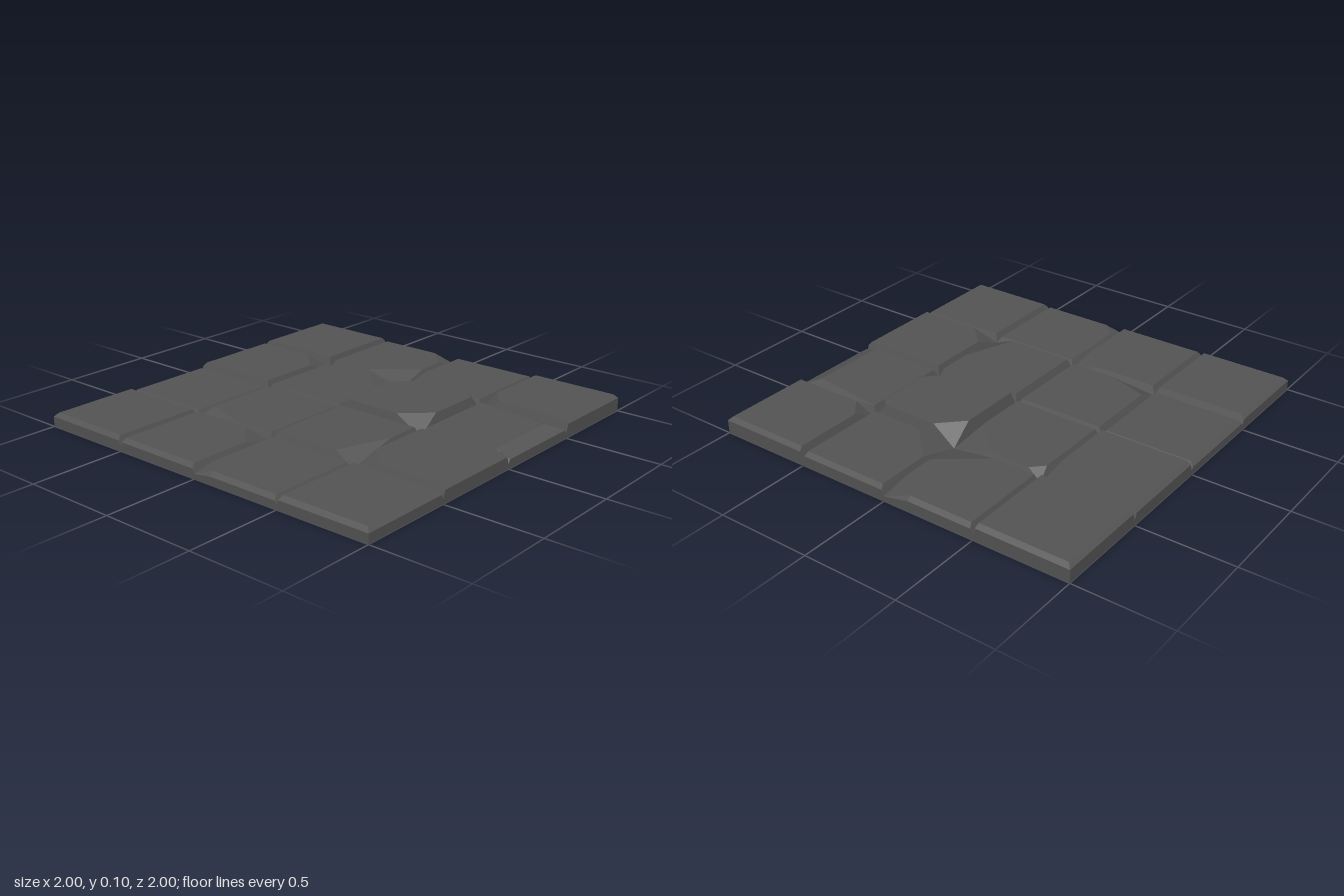
import * as THREE from 'three';
import { ConvexGeometry } from 'three/addons/geometries/ConvexGeometry.js';

const SIZE = 0.5, GROOVE = 0.025, BEVEL = 0.02;

// Tile heights, rows from back to front, columns from -x to +x
const HEIGHTS = [
  [0.072, 0.058, 0.08, 0.087],
  [0.068, 0.065, 0.07, 0.075],
  [0.06, 0.08, 0.105, 0.075],
  [0.068, 0.083, 0.075, 0.09],
];

// Broken corners: [column, row, side in x, side in z, length in x, length in z]
const CHIPS = [
  [2, 0, 1, 1, 0.15, 0.15],
  [0, 1, 1, 1, 0.15, 0.15],
  [1, 1, -1, -1, 0.09, 0.24],
  [2, 1, 1, -1, 0.08, 0.08],
  [2, 1, 1, 1, 0.21, 0.2],
  [3, 1, -1, 1, 0.2, 0.25],
  [3, 1, 1, 1, 0.14, 0.14],
  [0, 2, -1, -1, 0.1, 0.1],
  [1, 2, -1, 1, 0.3, 0.12],
  [2, 2, 1, -1, 0.14, 0.14],
  [2, 2, -1, 1, 0.15, 0.16],
  [2, 2, 1, 1, 0.06, 0.06],
  [3, 2, -1, -1, 0.2, 0.2],
  [1, 3, -1, -1, 0.14, 0.14],
  [3, 3, -1, -1, 0.12, 0.1],
];

function tileGeometry(col, row) {
  const h = HEIGHTS[row][col];
  const cx = (col - 1.5) * SIZE, cz = (row - 1.5) * SIZE, r = SIZE / 2;
  const points = [];
  const add = (x, y, z) => points.push(new THREE.Vector3(x, y, z));
  const slope = BEVEL * (h - BEVEL - GROOVE) / (h - GROOVE);
  const worn = col === 2 && row === 3;

  for (const sx of [-1, 1]) for (const sz of [-1, 1]) {
    const x = cx + sx * r, z = cz + sz * r;
    // Foot and groove level
    add(x, 0, z);
    add(x, GROOVE, z);
    if (worn) {
      // Wide worn slopes along the front and one side
      const inset = sx > 0 ? (sz > 0 ? 0.07 : 0.02) : 0.018;
      add(x - sx * inset, h, sz > 0 ? 0.92 : z + BEVEL);
      if (sz > 0) add(x - sx * 0.012, 0.045, z);
      continue;
    }
    const chip = CHIPS.find((c) => c[0] === col && c[1] === row && c[2] === sx && c[3] === sz);
    if (chip) {
      add(x - sx * chip[4], h, z - sz * BEVEL);
      add(x - sx * BEVEL, h, z - sz * chip[5]);
      // Keep the outer rim beside the break
      if (Math.abs(x) === 1) add(x, h - BEVEL, z - sz * chip[5]);
      if (Math.abs(z) === 1) add(x - sx * chip[4], h - BEVEL, z);
      continue;
    }
    // Upright outer walls, sloping groove walls, bevelled top
    add(x - sx * (Math.abs(x) === 1 ? 0 : slope), h - BEVEL, z - sz * (Math.abs(z) === 1 ? 0 : slope));
    add(x - sx * BEVEL, h, z - sz * BEVEL);
  }
  return new ConvexGeometry(points);
}

export function createModel() {
  const model = new THREE.Group();
  model.name = 'stoneFloor';
  const stone = new THREE.MeshStandardMaterial({ color: 0x555555 });
  stone.name = 'dark grey stone';
  stone.flatShading = true;

  for (let row = 0; row < 4; row++) for (let col = 0; col < 4; col++) {
    const tile = new THREE.Mesh(tileGeometry(col, row), stone);
    tile.name = `tileRow${row + 1}Column${col + 1}`;
    model.add(tile);
  }
  return model;
}
